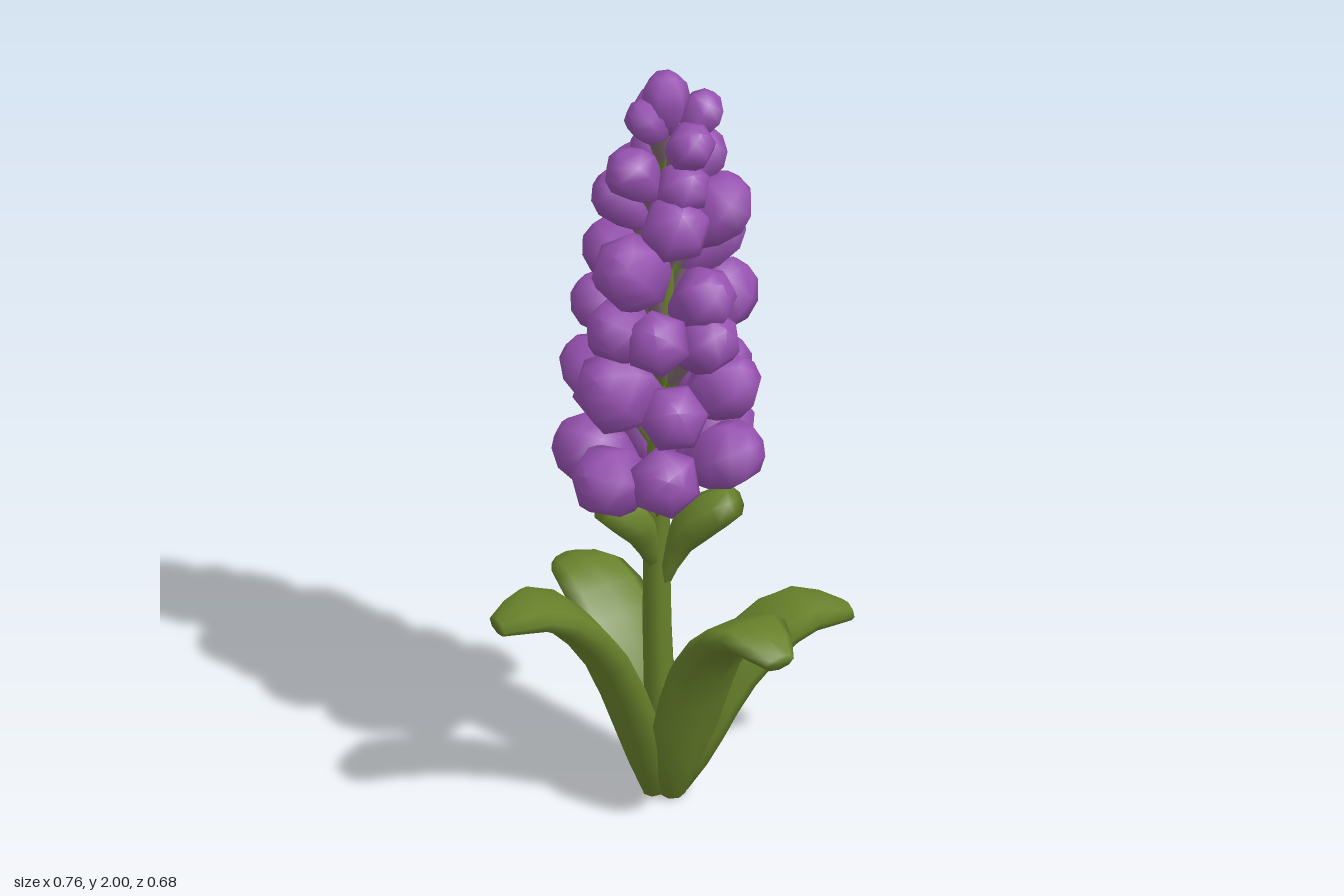
import * as THREE from 'three';

const V = (x, y, z) => new THREE.Vector3(x, y, z);
const UP = V(0, 1, 0);

// Closed loft along a path; each ring is an oval with half-width, half-thickness and raised edges
function loft(points, heading, rings, sides, section) {
  const curve = new THREE.CatmullRomCurve3(points);
  const side = UP.clone().cross(heading).normalize();
  const pos = [], idx = [];
  for (let i = 0; i < rings; i++) {
    const t = i / (rings - 1), c = curve.getPoint(t);
    const normal = curve.getTangent(t).cross(side).normalize();
    const [w, h, cup] = section(t);
    for (let j = 0; j < sides; j++) {
      const a = (j / sides) * Math.PI * 2;
      const p = c.clone().addScaledVector(side, w * Math.cos(a))
        .addScaledVector(normal, h * Math.sin(a) + cup * Math.cos(a) ** 2);
      pos.push(p.x, Math.max(p.y, 0), p.z);
    }
  }
  const last = (rings - 1) * sides, start = rings * sides, end = start + 1;
  const a = curve.getPoint(0), b = curve.getPoint(1);
  pos.push(a.x, Math.max(a.y, 0), a.z, b.x, b.y, b.z);
  for (let j = 0; j < sides; j++) {
    const k = (j + 1) % sides;
    for (let i = 0; i < rings - 1; i++) {
      const r = i * sides, s = r + sides;
      idx.push(r + j, r + k, s + j, r + k, s + k, s + j);
    }
    idx.push(start, k, j, end, last + j, last + k);
  }
  const g = new THREE.BufferGeometry();
  g.setAttribute('position', new THREE.Float32BufferAttribute(pos, 3));
  g.setIndex(idx);
  g.computeVertexNormals();
  return g;
}

// Linear lookup in a short list of evenly spaced values
function sample(list, t) {
  const f = t * (list.length - 1), i = Math.min(Math.floor(f), list.length - 2);
  return THREE.MathUtils.lerp(list[i], list[i + 1], f - i);
}

export function createModel() {
  const group = new THREE.Group();
  const green = new THREE.MeshStandardMaterial({ name: 'leafGreen', color: 0x68812b });
  const purple = new THREE.MeshStandardMaterial({ name: 'petalPurple', color: 0x9651b0 });
  const mauve = new THREE.MeshStandardMaterial({ name: 'stalkMauve', color: 0x7e6a70 });
  const add = (name, geometry, material) => {
    const m = new THREE.Mesh(geometry, material);
    m.name = name;
    group.add(m);
    return m;
  };

  // Main stem
  const stemPath = [V(-0.03, 0.01, -0.035), V(-0.045, 0.6, -0.03), V(-0.03, 1.2, -0.03), V(-0.01, 1.9, 0)];
  const stemCurve = new THREE.CatmullRomCurve3(stemPath);
  add('stem', loft(stemPath, V(1, 0, 0), 9, 7, t => {
    const r = 0.042 - 0.022 * t;
    return [r, r, 0];
  }), green);

  // Four fleshy basal leaves: tip x, tip z, then heights along the leaf
  const reach = [0, 0.17, 0.41, 0.72, 1];
  const leaves = [
    [0.35, 0.275, [0.01, 0.25, 0.47, 0.59, 0.57]],
    [-0.35, 0.31, [0.01, 0.25, 0.47, 0.59, 0.585]],
    [-0.345, -0.28, [0.01, 0.19, 0.35, 0.455, 0.46]],
    [0.355, -0.305, [0.01, 0.18, 0.33, 0.425, 0.41]],
  ];
  for (const [x, z, heights] of leaves) {
    const path = heights.map((y, i) => V(
      THREE.MathUtils.lerp(-0.025 + 0.06 * x, x, reach[i]), y,
      THREE.MathUtils.lerp(-0.035 + 0.06 * z, z, reach[i])));
    add('basalLeaf', loft(path, V(x, 0, z), 10, 8, t => [
      sample([0.035, 0.095, 0.106, 0.11, 0.108, 0.092, 0.042], t),
      sample([0.03, 0.05, 0.048, 0.045, 0.042, 0.038, 0.02], t),
      0.02 * Math.sin(Math.PI * t),
    ]), green);
  }

  // Two small spoon-shaped bracts under the flower spike
  const bracts = [
    [V(-0.04, 0.56, -0.03), V(0.01, 0.69, -0.035), V(0.07, 0.77, -0.04), V(0.15, 0.82, -0.04)],
    [V(-0.045, 0.62, -0.025), V(-0.07, 0.71, 0), V(-0.1, 0.775, 0.03), V(-0.155, 0.81, 0.06)],
  ];
  for (const path of bracts) {
    const heading = path[3].clone().sub(path[0]).setY(0);
    add('bract', loft(path, heading, 7, 7, t => [
      sample([0.02, 0.035, 0.06, 0.068, 0.045], t),
      sample([0.02, 0.03, 0.05, 0.056, 0.036], t),
      0,
    ]), green);
  }

  // Florets: plump six-sided buds on short two-tone stalks, in tiers up the spike
  const bud = new THREE.LatheGeometry(
    [[0, -1.35], [0.42, -1.15], [0.8, -0.65], [1.04, 0], [0.9, 0.5], [0.48, 0.88], [0, 0.97]]
      .map(p => new THREE.Vector2(...p)), 6);
  const stalkBase = new THREE.CylinderGeometry(0.018, 0.013, 1, 5, 1, true);
  const stalkNeck = new THREE.CylinderGeometry(0.034, 0.018, 1, 5, 1, true);

  // Stretch a unit cylinder between two points
  function link(name, geometry, material, from, to) {
    const m = add(name, geometry, material);
    const span = to.clone().sub(from);
    m.position.copy(from).addScaledVector(span, 0.5);
    m.scale.y = span.length();
    m.quaternion.setFromUnitVectors(UP, span.normalize());
  }

  function floret(x, y, z, s, spin) {
    const axis = stemCurve.getPoint(y / 1.9);
    const tilt = 0.5 + 0.9 * (y - 0.9);
    const dir = V(x - axis.x, 0, z - axis.z).normalize().setY(tilt).normalize();
    const m = add('floret', bud, purple);
    m.position.set(x, y, z);
    m.quaternion.setFromUnitVectors(UP, dir);
    m.rotateY(spin);
    m.scale.set(s, s * 1.12, s);
    const from = stemCurve.getPoint((y - 0.15) / 1.9);
    const to = m.position.clone().addScaledVector(dir, -s);
    const middle = from.clone().lerp(to, 0.4);
    link('stalkBase', stalkBase, green, from, middle);
    link('stalkNeck', stalkNeck, mauve, middle, to);
  }

  // Each tier: height, bud size, then [x, z, height shift, size factor]
  const tiers = [
    [0.94, 0.087, [[-0.2, 0.01], [-0.12, 0.12, -0.02, 1.05], [0.02, 0.125], [0.13, -0.03, 0.01],
      [0.07, -0.17], [-0.09, -0.18, -0.01, 1.05]]],
    [1.14, 0.084, [[-0.2, -0.03], [-0.1, 0.12, 0.03, 1.25], [0.04, 0.125, -0.02], [0.125, -0.03],
      [0.07, -0.15, -0.02], [-0.11, -0.205, 0.03, 1.1]]],
    [1.32, 0.081, [[-0.18, -0.02, 0.01, 0.9], [-0.1, 0.11, 0.01], [0, 0.125], [0.095, 0.03, -0.03],
      [0.09, -0.12, 0.02, 1.1], [-0.05, -0.16, -0.04], [-0.13, -0.12]]],
    [1.47, 0.083, [[-0.145, -0.03], [-0.07, 0.1, 0.02, 1.15], [0.085, 0.02, -0.07, 0.95],
      [0.06, -0.14, 0.03], [-0.08, -0.14, 0.02, 1.1]]],
    [1.61, 0.078, [[-0.125, 0, 0.03, 0.9], [0.03, 0.07, 0, 1.08], [0.095, -0.065, 0, 1.1],
      [-0.01, -0.125], [-0.1, -0.11, 0.03, 1.1]]],
    [1.73, 0.067, [[-0.085, 0.04], [0.04, 0.04, -0.02], [0.04, -0.1], [-0.06, -0.09]]],
    [1.84, 0.06, [[0.06, 0.045, -0.01], [0.055, -0.075, 0.02, 0.9], [-0.055, -0.065, 0.01], [-0.05, 0.035, 0.04, 0.9]]],
  ];
  let n = 0;
  for (const [y, size, spots] of tiers)
    for (const [x, z, dy = 0, k = 1] of spots) floret(x, y + dy, z, size * k, n++ * 1.3);

  // Bud at the very top
  const tip = add('topBud', bud, purple);
  tip.position.set(-0.015, 1.925, 0);
  tip.scale.set(0.06, 0.077, 0.06);

  return group;
}
